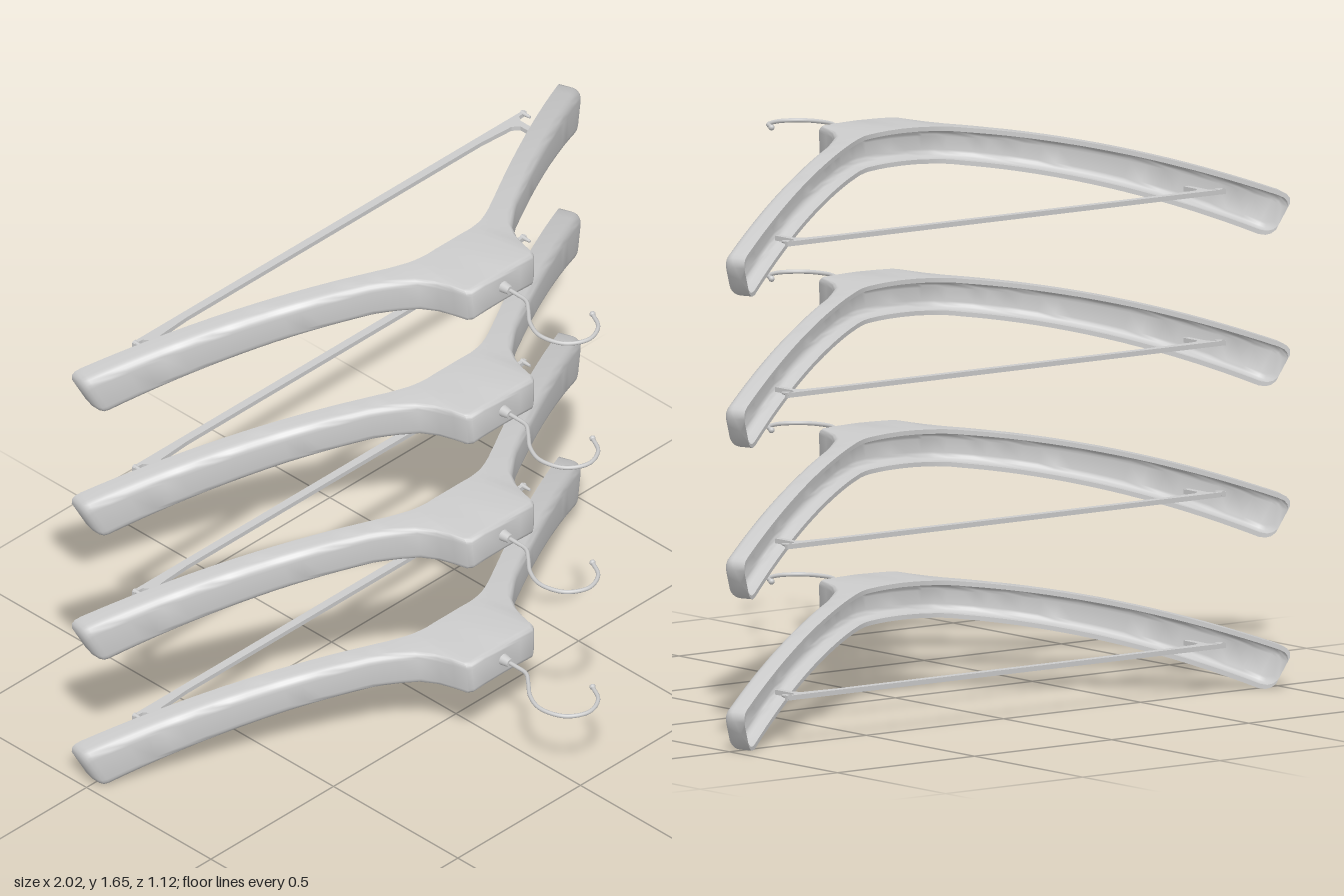
import * as THREE from 'three';
import { toCreasedNormals } from 'three/addons/utils/BufferGeometryUtils.js';

const grey = new THREE.MeshStandardMaterial({ color: 0xcccccc, side: THREE.DoubleSide });

// Stations from the centre to one tip, in plan:
// back edge x, z, front edge x, z, height scale, channel depth
function halfStations() {
  const list = [
    [0.05, -0.03, 0.07, 0.19, 1, 0.05],
    [0.085, -0.03, 0.122, 0.19, 1, 0.05],
    [0.1, -0.032, 0.135, 0.18, 1, 0.05],
    [0.125, -0.036, 0.145, 0.135, 1, 0.05],
    [0.145, -0.042, 0.16, 0.09, 1, 0.05],
    [0.172, -0.054, 0.19, 0.04, 1, 0.048],
    [0.2, -0.069, 0.235, 0, 1, 0.046],
    [0.23, -0.087, 0.265, -0.025, 1, 0.046],
  ];
  const n = 16;
  for (let i = 0; i <= n; i++) {
    const t = i / n, l = THREE.MathUtils.lerp;
    list.push([l(0.26, 0.945, t), l(-0.105, -0.532, t), l(0.295, 0.975, t), l(-0.048, -0.468, t), 1, 0.045]);
  }
  list.push([0.961, -0.542, 0.985, -0.475, 0.95, 0.035]);
  list.push([0.971, -0.549, 0.991, -0.483, 0.83, 0.022]);
  list.push([0.978, -0.553, 0.995, -0.495, 0.62, 0]);
  return list;
}

// Rounded C outline as [depth, height] pairs, bottom to top
function cProfile(depth, h, r) {
  const pts = [[0, -h]], steps = 5;
  for (const side of [-1, 1]) {
    for (let i = 0; i <= steps; i++) {
      const a = (side < 0 ? i : steps - i) / steps * Math.PI / 2;
      pts.push([depth - r + r * Math.sin(a), side * (h - r + r * Math.cos(a))]);
    }
  }
  pts.push([0, h]);
  return pts;
}

// Cross-section of the hollow body at one station, tilted to follow the droop
function section([bx, bz, fx, fz, scale, channel], sign) {
  const x = (bx + fx) / 2, depth = Math.hypot(fx - bx, fz - bz);
  const yc = 0.298 - 0.237 * x ** 1.94, slope = 0.46 * x ** 0.94;
  const norm = Math.hypot(1, slope);
  const h = (0.0535 + 0.015 * x * x) * scale;
  const outer = cProfile(depth, h, 0.016 + 0.012 * Math.min(1, x * 2));
  const inner = cProfile(channel, h - 0.013, Math.min(0.022, channel)).reverse();
  return [...outer, ...inner].map(([d, v]) => {
    const f = d / depth, shift = v * slope / norm;
    return [sign * (bx + (fx - bx) * f + shift), yc + v / norm, bz + (fz - bz) * f - 0.62 * shift];
  });
}

function bodyGeometry() {
  const half = halfStations();
  const rings = [
    ...[...half].reverse().map((s) => section(s, -1)),
    section([0, -0.03, 0, 0.19, 1, 0.05], 1),
    ...half.map((s) => section(s, 1)),
  ];
  const m = rings[0].length, pos = rings.flat(2), index = [];
  for (let s = 0; s < rings.length - 1; s++) {
    for (let k = 0; k < m; k++) {
      const a = s * m + k, b = s * m + (k + 1) % m;
      index.push(a, a + m, b, b, a + m, b + m);
    }
  }
  // closed tips
  for (const s of [0, rings.length - 1]) {
    const c = pos.length / 3;
    const mean = [0, 1, 2].map((j) => rings[s].reduce((sum, p) => sum + p[j], 0) / m);
    pos.push(...mean);
    for (let k = 0; k < m; k++) {
      const a = s * m + k, b = s * m + (k + 1) % m;
      if (s === 0) index.push(c, a, b); else index.push(c, b, a);
    }
  }
  const geo = new THREE.BufferGeometry();
  geo.setAttribute('position', new THREE.Float32BufferAttribute(pos, 3));
  geo.setIndex(index);
  return toCreasedNormals(geo, 0.75);
}

// Flat trouser bar with gusseted corners and a post reaching into each arm
function barGeometry() {
  const side = [[0.8, -0.515], [0.8, -0.505], [0.768, -0.503], [0.755, -0.485], [0.755, -0.4],
    [0.735, -0.4], [0.735, -0.465], [0.715, -0.482], [0.6, -0.49]];
  const pts = [...side, ...side.map(([x, z]) => [-x, z]).reverse()];
  const shape = new THREE.Shape(pts.map(([x, z]) => new THREE.Vector2(x, z)));
  const geo = new THREE.ExtrudeGeometry(shape, { depth: 0.014, bevelEnabled: false });
  return geo.rotateX(Math.PI / 2).translate(0, 0.159, 0);
}

export function createModel() {
  const model = new THREE.Group();
  const HOOK_Y = 0.303;

  const hookPath = new THREE.CatmullRomCurve3([
    [0, 0.18], [0, 0.24], [-0.004, 0.285], [-0.035, 0.325], [-0.075, 0.372], [-0.098, 0.435],
    [-0.075, 0.512], [-0.012, 0.546], [0.05, 0.522], [0.083, 0.467],
  ].map(([x, z]) => new THREE.Vector3(x, HOOK_Y, z)));

  const geos = {
    body: bodyGeometry(),
    hook: new THREE.TubeGeometry(hookPath, 64, 0.0062, 10),
    hookTip: new THREE.SphereGeometry(0.009, 12, 8).translate(0.083, HOOK_Y, 0.467),
    hookCollar: new THREE.CylinderGeometry(0.013, 0.018, 0.03, 20).rotateX(Math.PI / 2).translate(0, HOOK_Y, 0.203),
    trouserBar: barGeometry(),
  };
  // small prongs at the bar ends
  const prong = new THREE.CylinderGeometry(0.008, 0.004, 0.035, 10).rotateX(-Math.PI / 2);

  for (let i = 0; i < 4; i++) {
    const hanger = new THREE.Group();
    hanger.name = `hanger${i + 1}`;
    const add = (name, geo) => {
      const mesh = new THREE.Mesh(geo, grey);
      mesh.name = name;
      hanger.add(mesh);
      return mesh;
    };
    for (const [name, geo] of Object.entries(geos)) add(name, geo);
    for (const s of [-1, 1]) add(s > 0 ? 'leftProng' : 'rightProng', prong).position.set(s * 0.79, 0.155, -0.498);
    hanger.position.y = i * 0.4385;
    model.add(hanger);
  }
  return model;
}
